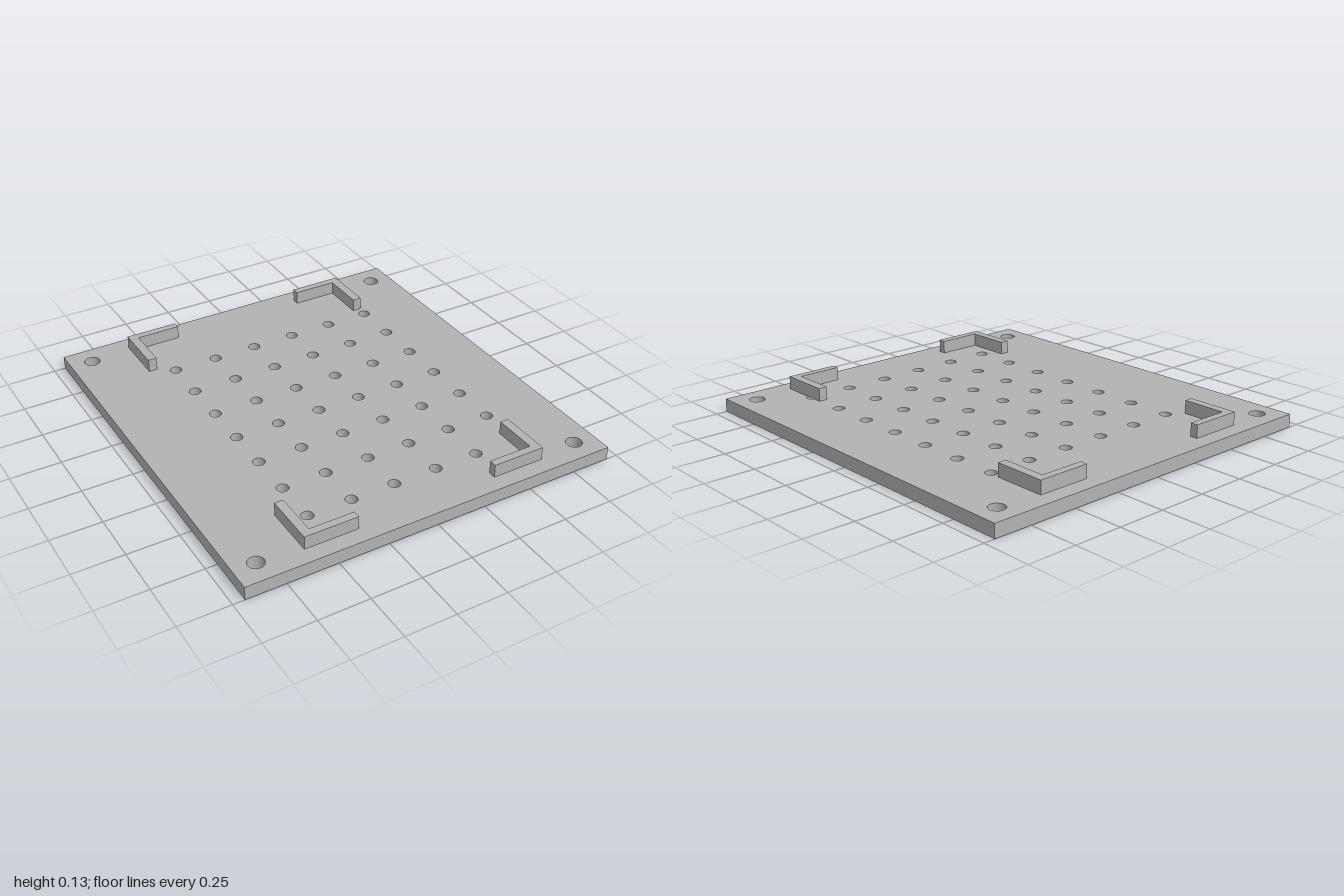
import * as THREE from 'three';

const PLATE_TOP = 0.067;
const BRACKET_TOP = 0.133;

// Closed shape from [x, z] corners; shape y is -z so it lies flat after turning.
const outline = (corners) => new THREE.Shape(corners.map(([x, z]) => new THREE.Vector2(x, -z)));

// Upright slab from a plan shape, standing on y = base.
function slab(shape, base, top) {
  const geometry = new THREE.ExtrudeGeometry(shape, { depth: top - base, bevelEnabled: false, curveSegments: 32 });
  return geometry.rotateX(-Math.PI / 2).translate(0, base, 0);
}

function addHole(shape, x, z, radius) {
  const hole = new THREE.Path();
  hole.absarc(x, -z, radius, 0, Math.PI * 2, true);
  shape.holes.push(hole);
}

export function createModel() {
  const grey = new THREE.MeshStandardMaterial({ color: 0xb2b2b2 });
  grey.name = 'light grey';
  const model = new THREE.Group();
  model.name = 'mountingPlate';
  const add = (name, geometry) => {
    const mesh = new THREE.Mesh(geometry, grey);
    mesh.name = name;
    model.add(mesh);
  };

  // Base plate with corner screw holes and an offset grid of vent holes
  const w = 0.944;
  const plate = outline([[-w, 1], [w, 1], [w, -1], [-w, -1]]);
  for (const sx of [-1, 1]) for (const sz of [-1, 1]) addHole(plate, sx * 0.833, sz * 0.889, 0.039);
  for (let col = 0; col < 6; col++) {
    for (let row = 0; row < 7; row++) addHole(plate, -0.5 + col * 0.2222, -0.602 + row * 0.2222, 0.029);
  }
  add('basePlate', slab(plate, 0, PLATE_TOP));

  // L-shaped corner brackets
  const corners = [[0.621, 0.918], [0.621, 0.657], [0.577, 0.657], [0.577, 0.88], [0.355, 0.88], [0.355, 0.918]];
  for (const [side, sx] of [['left', 1], ['right', -1]]) {
    for (const [end, sz] of [['Front', 1], ['Back', -1]]) {
      const shape = outline(corners.map(([x, z]) => [x * sx, z * sz]));
      add(`${side}${end}Bracket`, slab(shape, PLATE_TOP, BRACKET_TOP));
    }
  }
  return model;
}
